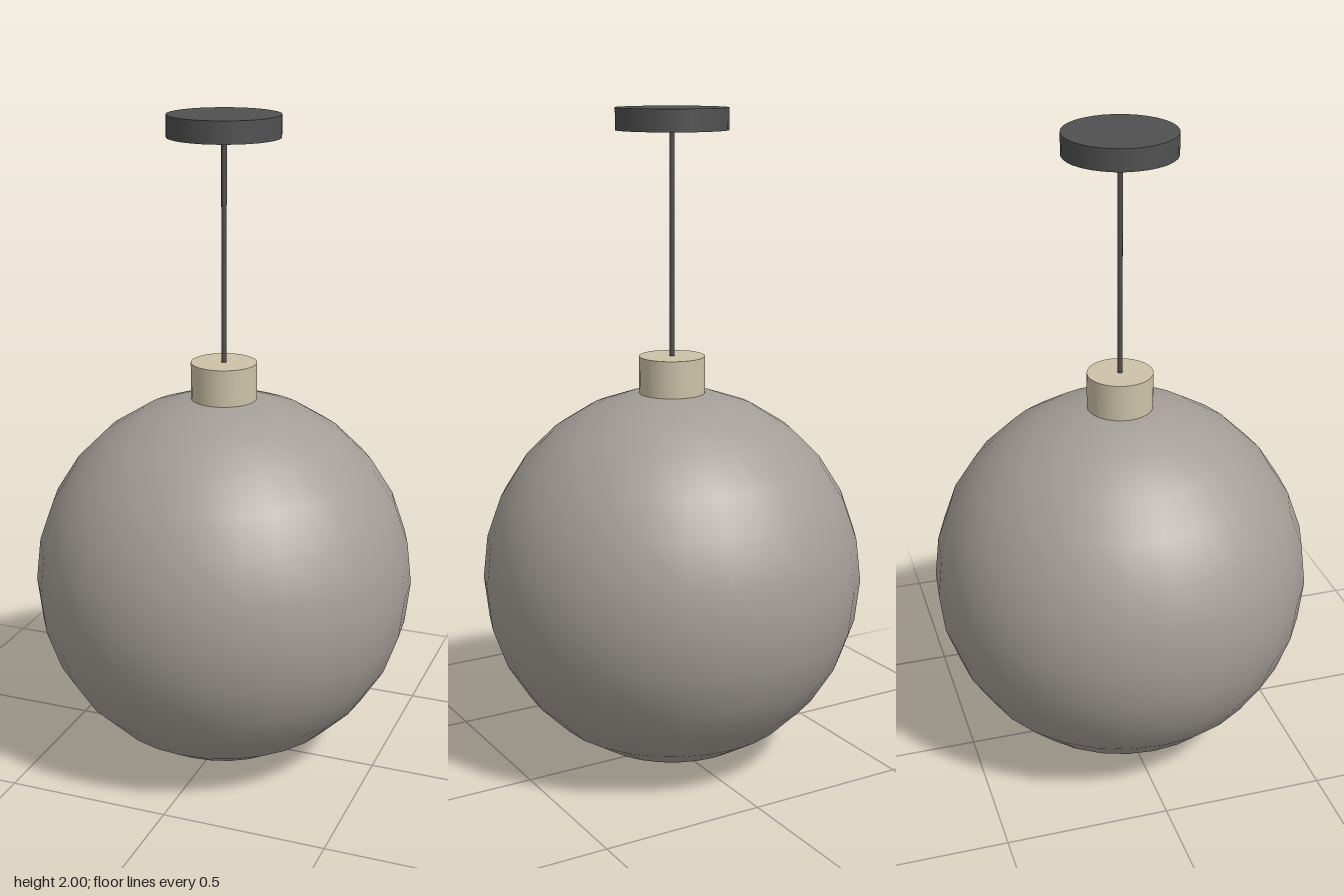
import * as THREE from 'three';

export function createModel() {
  const group = new THREE.Group();
  const dark = new THREE.MeshStandardMaterial({ color: 0x505050 });
  const brass = new THREE.MeshStandardMaterial({ color: 0xcdc2a8 });
  const shade = new THREE.MeshStandardMaterial({ color: 0xa39d97 });

  const add = (name, geometry, material, y) => {
    const mesh = new THREE.Mesh(geometry, material);
    mesh.name = name;
    mesh.position.y = y;
    group.add(mesh);
  };
  // Upright cylinder between two heights
  const rod = (name, radius, bottom, top, sides, material) =>
    add(name, new THREE.CylinderGeometry(radius, radius, top - bottom, sides), material, (bottom + top) / 2);

  // Globe shade
  add('globeShade', new THREE.SphereGeometry(0.583, 28, 14), shade, 0.583);

  // Lamp holder, hanging cord and ceiling plate
  rod('lampHolder', 0.1, 1.15, 1.267, 28, brass);
  rod('cord', 0.008, 1.267, 1.935, 10, dark);
  rod('ceilingPlate', 0.167, 1.935, 2, 32, dark);

  return group;
}
